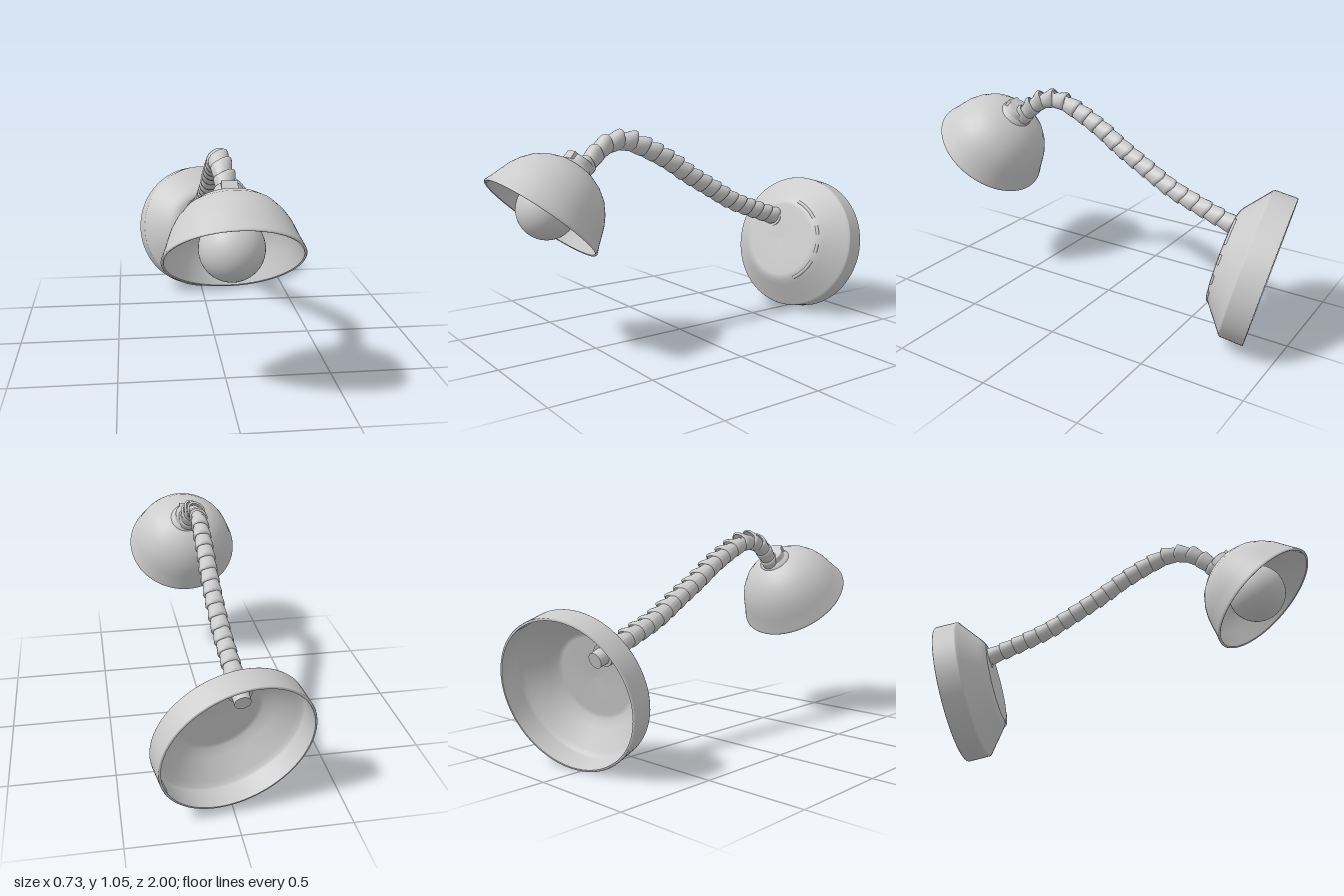
import * as THREE from 'three';

const V = (x, y, z) => new THREE.Vector3(x, y, z);
const solid = new THREE.MeshStandardMaterial({ color: 0xcccccc });
const shell = new THREE.MeshStandardMaterial({ color: 0xcccccc, side: THREE.DoubleSide });

function add(parent, name, geometry, material = solid) {
  const mesh = new THREE.Mesh(geometry, material);
  mesh.name = name;
  parent.add(mesh);
  return mesh;
}

// Places an object with its local y along axis and its local x as near as possible to side
function orient(object, origin, axis, side = V(1, 0, 0)) {
  const y = axis.clone().normalize();
  const x = side.clone().addScaledVector(y, -side.dot(y)).normalize();
  const z = x.clone().cross(y);
  object.quaternion.setFromRotationMatrix(new THREE.Matrix4().makeBasis(x, y, z));
  object.position.copy(origin);
  return object;
}

const lathe = (points, segments = 64) =>
  new THREE.LatheGeometry(points.map(([r, h]) => new THREE.Vector2(r, h)), segments);

function buildBase() {
  const base = new THREE.Group();
  base.name = 'base';
  orient(base, V(-0.011, 0.352, -0.885), V(0.225, 0.25, 1));

  // Hollow dish: outer wall up to the flat face, then back down inside
  add(base, 'baseDish', lathe([
    [0.352, 0], [0.36, 0], [0.363, 0.004], [0.363, 0.112], [0.361, 0.118], [0.35, 0.126],
    [0.335, 0.138], [0.255, 0.203], [0.235, 0.219], [0.215, 0.23], [0.195, 0.235], [0, 0.236],
    [0, 0.226], [0.19, 0.225], [0.21, 0.219], [0.25, 0.194], [0.33, 0.128], [0.348, 0.112],
    [0.352, 0.1], [0.352, 0],
  ], 80), shell);

  // Row of curved ridges along one edge of the face: long, short, short, long
  for (const [from, to] of [[-57, -20], [-8, 4], [17, 29], [41, 76]]) {
    const arc = THREE.MathUtils.degToRad(to - from);
    const ridge = new THREE.TorusGeometry(0.226, 0.009, 8, 20, arc);
    ridge.rotateZ(THREE.MathUtils.degToRad(from)).rotateX(-Math.PI / 2);
    add(base, 'faceRidge', ridge, shell).position.y = 0.222;
  }
  return base;
}

// One flared link, with its wide end drawn out to a lip on the local +x side
function linkGeometry(pitch) {
  const g = lathe([
    [0.033, -0.012], [0.039, 0], [0.042, pitch * 0.35], [0.045, pitch * 0.75],
    [0.045, pitch * 0.95], [0.034, pitch],
  ], 24);
  const p = g.attributes.position;
  for (let i = 0; i < p.count; i++) {
    const r = Math.hypot(p.getX(i), p.getZ(i));
    const w = Math.max(0, p.getX(i) / r) ** 2;
    const t = THREE.MathUtils.smoothstep(p.getY(i), pitch * 0.3, pitch * 0.95);
    p.setX(i, p.getX(i) + 0.016 * w * t);
    p.setY(i, p.getY(i) + 0.014 * w * t);
  }
  g.computeVertexNormals();
  return g;
}

function buildNeck() {
  const neck = new THREE.Group();
  neck.name = 'flexibleNeck';
  const curve = new THREE.CatmullRomCurve3([
    V(-0.045, 0.525, -0.67), V(-0.036, 0.585, -0.5), V(-0.028, 0.65, -0.34),
    V(-0.022, 0.73, -0.195), V(-0.02, 0.81, -0.055), V(-0.02, 0.895, 0.083),
    V(-0.02, 0.96, 0.22), V(-0.02, 0.985, 0.3), V(-0.018, 0.985, 0.37),
    V(-0.013, 0.96, 0.44), V(-0.006, 0.91, 0.505), V(0, 0.85, 0.565),
  ]);
  add(neck, 'neckCore', new THREE.TubeGeometry(curve, 80, 0.035, 16));

  const count = 20;
  const link = linkGeometry(curve.getLength() / count);
  for (let i = 1; i <= count; i++) {
    const u = i / count;
    const mesh = add(neck, 'neckLink', link, shell);
    orient(mesh, curve.getPointAt(u), curve.getTangentAt(u).negate(), V(0.6, 0.8, 0));
  }

  // End of the neck showing inside the hollow base
  const start = curve.getPointAt(0), dir = curve.getTangentAt(0);
  const stub = add(neck, 'neckStub', new THREE.CylinderGeometry(0.042, 0.038, 0.1, 24));
  orient(stub, start.clone().addScaledVector(dir, -0.03), dir);
  const nut = add(neck, 'neckNut', new THREE.CylinderGeometry(0.054, 0.054, 0.025, 24));
  orient(nut, start.clone().addScaledVector(dir, -0.02), dir);
  return neck;
}

function buildHead() {
  const head = new THREE.Group();
  head.name = 'lampHead';
  orient(head, V(0, 0.666, 0.767), V(0, 0.763, -0.647));

  // Thin domed shade with a slightly flared, rolled rim
  add(head, 'shade', lathe([
    [0.29, 0], [0.297, -0.003], [0.301, 0.002], [0.298, 0.012], [0.285, 0.045], [0.272, 0.085],
    [0.256, 0.13], [0.232, 0.175], [0.195, 0.222], [0.15, 0.256], [0.1, 0.28], [0.05, 0.291],
    [0, 0.295], [0, 0.285], [0.05, 0.281], [0.097, 0.27], [0.145, 0.247], [0.188, 0.214],
    [0.224, 0.169], [0.248, 0.125], [0.264, 0.08], [0.277, 0.04], [0.29, 0],
  ], 80), shell);

  // Bulb and its socket
  add(head, 'bulb', new THREE.SphereGeometry(0.14, 48, 32)).position.set(-0.005, 0.052, 0);
  add(head, 'socket', new THREE.CylinderGeometry(0.05, 0.055, 0.13, 32)).position.y = 0.23;

  // Collar joining shade and neck, with a small clamp lug
  add(head, 'collar', lathe([
    [0.085, 0.272], [0.083, 0.287], [0.066, 0.298], [0.062, 0.304], [0.062, 0.328],
    [0.058, 0.334], [0, 0.335],
  ], 40), shell);
  add(head, 'clampLug', new THREE.BoxGeometry(0.07, 0.04, 0.03)).position.set(0, 0.314, -0.052).z *= -1;
  return head;
}

export function createModel() {
  const lamp = new THREE.Group();
  lamp.name = 'wallLamp';
  lamp.add(buildBase(), buildNeck(), buildHead());
  return lamp;
}
